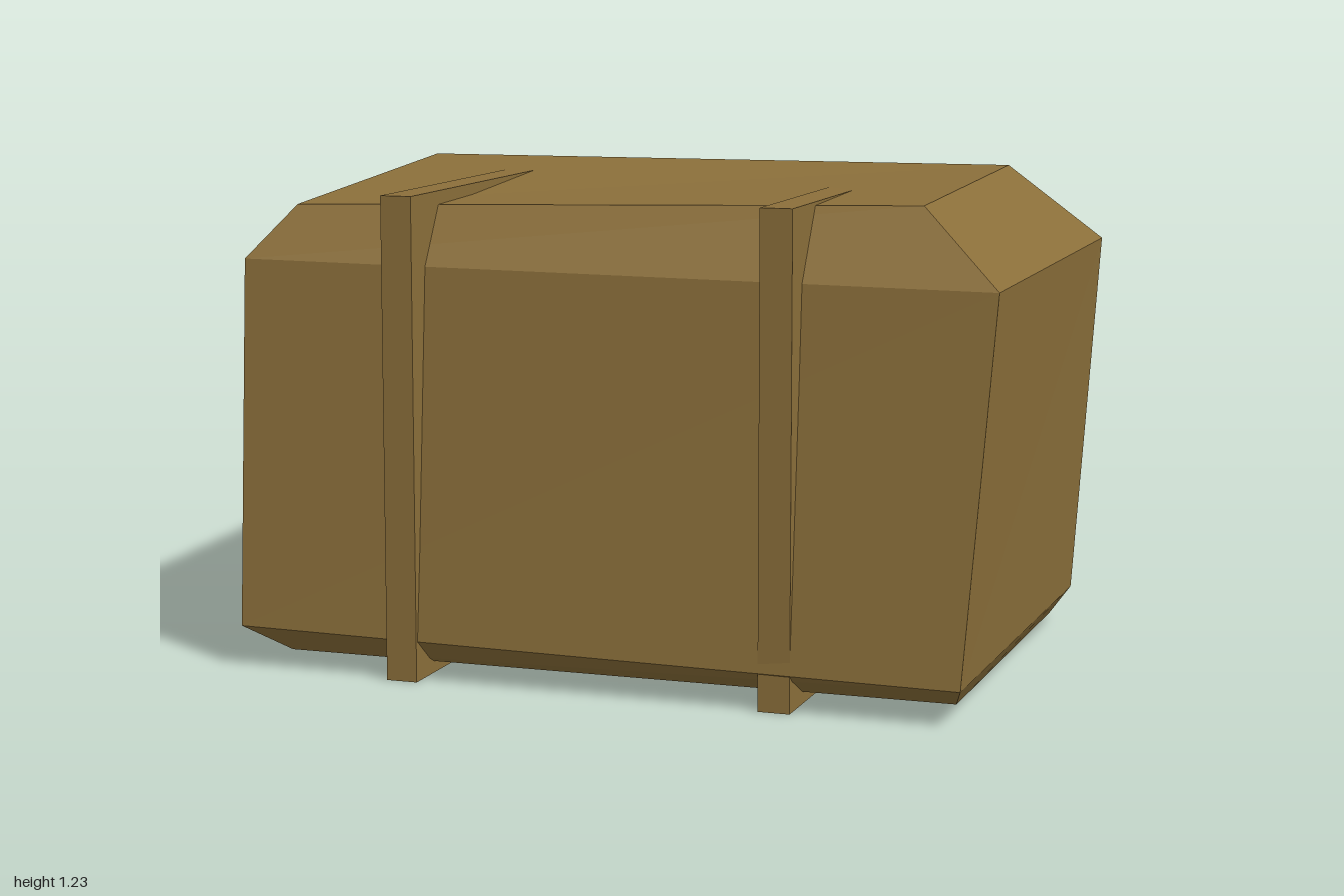
import * as THREE from 'three';

// Closed flat-faced hull from four-cornered rings, listed bottom to top.
// Ring corners run front left, front right, back right, back left as seen from the front.
function ringHull(rings) {
  const pos = [];
  const quad = (a, b, c, d) => pos.push(...a, ...b, ...c, ...a, ...c, ...d);
  for (let r = 0; r < rings.length - 1; r++) {
    const lo = rings[r], hi = rings[r + 1];
    for (let i = 0; i < 4; i++) {
      const j = (i + 1) % 4;
      quad(lo[i], lo[j], hi[j], hi[i]);
    }
  }
  const [a, b, c, d] = rings[0];
  quad(d, c, b, a);
  quad(...rings[rings.length - 1]);
  const geo = new THREE.BufferGeometry();
  geo.setAttribute('position', new THREE.Float32BufferAttribute(pos, 3));
  geo.computeVertexNormals();
  return geo;
}

export function createModel() {
  const group = new THREE.Group();
  group.name = 'strappedBale';
  const brown = new THREE.MeshStandardMaterial({ color: 0x8b6f3a });
  brown.name = 'brown';

  // Irregular bale: bevelled underside, leaning sides, bevelled top
  const bale = new THREE.Mesh(ringHull([
    [[-0.83, 0.03, 0.53], [0.905, 0.03, 0.53], [0.905, 0.03, -0.51], [-0.845, 0.03, -0.51]],
    [[-0.925, 0.105, 0.625], [0.942, 0.09, 0.647], [0.95, 0.095, -0.565], [-0.995, 0.117, -0.577]],
    [[-0.93, 1.03, 0.555], [1, 1.02, 0.56], [1, 1.03, -0.64], [-1, 1.01, -0.648]],
    [[-0.82, 1.163, 0.475], [0.79, 1.205, 0.447], [0.78, 1.23, -0.48], [-0.83, 1.223, -0.44]],
  ]), brown);
  bale.name = 'bale';
  group.add(bale);

  // Two upright straps running around the bale
  const strapGeo = new THREE.BoxGeometry(0.08, 1.207, 1.278);
  for (const [name, x] of [['rightStrap', -0.48], ['leftStrap', 0.485]]) {
    const strap = new THREE.Mesh(strapGeo, brown);
    strap.name = name;
    strap.position.set(x, 0.6035, 0);
    group.add(strap);
  }
  return group;
}
